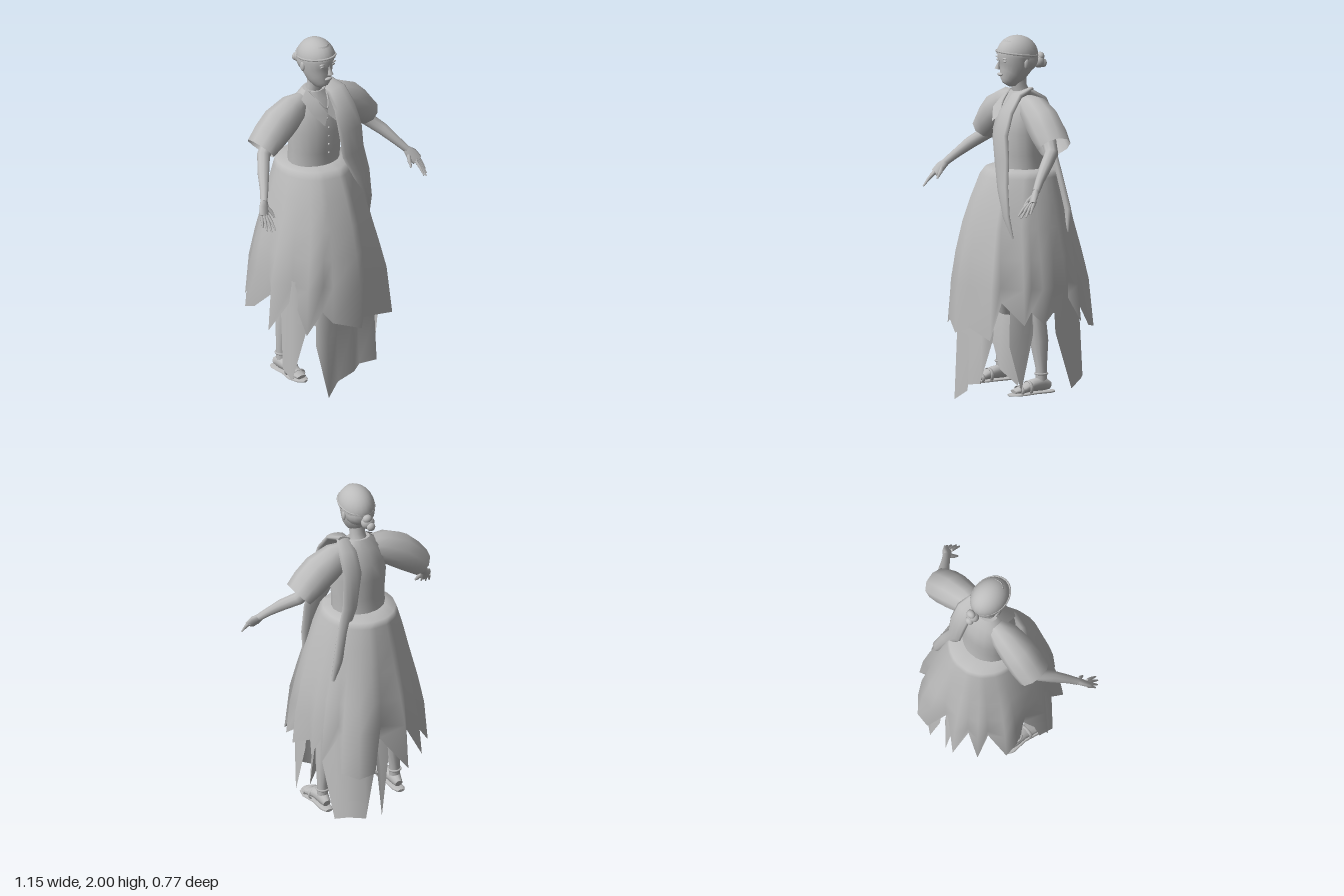
import * as THREE from 'three';

const grey = new THREE.MeshStandardMaterial({ color: 0xbcbcbc, side: THREE.DoubleSide });
grey.name = 'plain grey';

// Surface through rows of points; each row may close on itself
function grid(rows, closed) {
  const n = rows[0].length, idx = [];
  for (let r = 0; r < rows.length - 1; r++) {
    for (let i = 0; i < (closed ? n : n - 1); i++) {
      const j = (i + 1) % n, a = r * n + i, b = r * n + j, c = a + n, d = b + n;
      idx.push(a, b, c, b, d, c);
    }
  }
  const geo = new THREE.BufferGeometry();
  geo.setAttribute('position', new THREE.Float32BufferAttribute(rows.flat(2), 3));
  geo.setIndex(idx);
  geo.computeVertexNormals();
  return geo;
}

// Elliptical loft along sections [x, y, z, radius across, radius along ref]
function loft(sections, sides = 12, cap = true, ref = new THREE.Vector3(0, 0, 1)) {
  const pts = sections.map(s => new THREE.Vector3(s[0], s[1], s[2]));
  const rows = sections.map((s, k) => {
    const t = pts[Math.min(k + 1, pts.length - 1)].clone().sub(pts[Math.max(k - 1, 0)]).normalize();
    const u = ref.clone().cross(t).normalize(), v = t.clone().cross(u);
    return Array.from({ length: sides }, (_, i) => {
      const a = i / sides * Math.PI * 2;
      return pts[k].clone().addScaledVector(u, Math.cos(a) * s[3])
        .addScaledVector(v, Math.sin(a) * (s[4] ?? s[3])).toArray();
    });
  });
  if (cap) {
    const first = rows[0], last = rows[rows.length - 1];
    rows.unshift(first.map(() => pts[0].toArray()), first);
    rows.push(last, last.map(() => pts[pts.length - 1].toArray()));
  }
  return grid(rows, true);
}

export function createModel() {
  const model = new THREE.Group();
  const add = (name, geo, pos = [0, 0, 0], scale = [1, 1, 1], rot = [0, 0, 0]) => {
    const m = new THREE.Mesh(geo, grey);
    m.name = name;
    m.position.set(...pos);
    m.scale.set(...scale);
    m.rotation.set(...rot);
    model.add(m);
    return m;
  };
  const ball = new THREE.SphereGeometry(1, 16, 12);

  // Head, face and neck
  add('neck', loft([[0, 1.66, -.03, .055, .05], [0, 1.72, -.01, .042, .042], [0, 1.8, 0, .045, .05]]));
  add('head', loft([[0, 1.735, .07, .02, .025], [0, 1.75, .06, .042, .05], [0, 1.785, .035, .065, .075],
    [0, 1.83, .012, .079, .097], [0, 1.88, .008, .088, .106], [0, 1.93, .004, .088, .105],
    [0, 1.97, 0, .06, .08]], 20));
  add('nose', new THREE.ConeGeometry(.017, .055, 6), [0, 1.85, .118], [1, 1, 1], [-.25, 0, 0]);
  add('lips', ball, [0, 1.793, .107], [.024, .009, .012]);
  for (const s of [-1, 1]) {
    add('eye', ball, [s * .036, 1.868, .099], [.015, .007, .006]);
    add('brow', ball, [s * .037, 1.884, .101], [.02, .005, .008]);
    add('ear', ball, [s * .084, 1.85, -.012], [.009, .027, .016]);
  }
  // Wrapped hair with band and bun
  add('hairCap', new THREE.SphereGeometry(1, 20, 10, 0, Math.PI * 2, 0, 1.6),
    [0, 1.89, .002], [.096, .109, .12], [-.15, 0, 0]);
  add('hairBack', ball, [0, 1.87, -.035], [.085, .08, .082]);
  add('hairBand', new THREE.TorusGeometry(1, .06, 6, 24), [0, 1.902, .004], [.094, .117, .1], [Math.PI / 2 - .15, 0, 0]);
  add('bun', ball, [0, 1.845, -.13], [.038, .037, .032]);
  add('bunUpper', ball, [.006, 1.872, -.137], [.027, .024, .022]);
  add('bunEnd', ball, [-.004, 1.832, -.16], [.024, .024, .02]);

  // Blouse body
  add('blouse', loft([[0, 1.25, -.02, .15, .13], [0, 1.36, -.015, .15, .125], [0, 1.48, -.01, .16, .137],
    [0, 1.58, -.02, .15, .115], [0, 1.65, -.025, .125, .08], [0, 1.7, -.02, .065, .055]], 18));
  // Open collar and buttons
  for (const s of [-1, 1]) {
    add('collar', grid([[[s * .055, 1.71, -.01], [s * .115, 1.67, .015]],
      [[s * .04, 1.66, .06], [s * .1, 1.6, .095]], [[0, 1.58, .1], [s * .045, 1.53, .132]]]));
  }
  for (let i = 0; i < 5; i++) add('button', ball, [-.01, 1.56 - i * .05, .108 + Math.min(i, 1) * .014], [.006, .006, .006]);
  const beads = new THREE.CatmullRomCurve3([[-.055, 1.7, .01], [-.025, 1.64, .075], [0, 1.61, .095],
    [.025, 1.64, .075], [.055, 1.7, .01]].map(p => new THREE.Vector3(...p)));
  add('necklace', new THREE.TubeGeometry(beads, 16, .005, 5));

  // Sleeves, arms and hands, mirrored
  for (const s of [-1, 1]) {
    const limb = (name, secs, sides, cap) => add(name, loft(secs.map(p => [s * p[0], ...p.slice(1)]), sides, cap));
    limb('sleeve', [[.07, 1.63, -.025, .06, .055], [.14, 1.605, -.025, .088, .082], [.24, 1.55, -.025, .1, .098],
      [.31, 1.492, -.025, .092, .1], [.367, 1.44, -.025, .077, .094]], 10, false);
    limb('arm', [[.2, 1.56, -.025, .05], [.3, 1.47, -.025, .042], [.36, 1.405, -.01, .037], [.42, 1.345, .06, .033],
      [.47, 1.28, .125, .024], [.505, 1.235, .165, .02]], 10);
    limb('palm', [[.5, 1.24, .16, .02, .018], [.52, 1.21, .185, .035, .018], [.54, 1.175, .21, .032, .014]], 8);
    const tips = [[.525, 1.115, .285], [.545, 1.105, .28], [.562, 1.11, .26], [.572, 1.125, .238]];
    tips.forEach((t, i) => {
      const b = [.523 + i * .009, 1.178 + i * .004, .22 - i * .008];
      const mid = b.map((v, k) => (v + t[k]) / 2 + (k === 1 ? .006 : 0));
      limb('finger', [[...b, .01], [...mid, .009], [...t, .004]], 6);
    });
    limb('thumb', [[.505, 1.215, .18, .012], [.488, 1.185, .205, .011], [.482, 1.155, .228, .005]], 6);
  }

  // Long scarf, hanging in front and behind over one shoulder
  add('scarfFront', loft([[.085, 1.705, -.03, .045, .018], [.095, 1.685, .06, .06, .02], [.1, 1.6, .125, .072, .02],
    [.105, 1.48, .165, .08, .022], [.125, 1.34, .165, .075, .02], [.17, 1.2, .185, .055, .016],
    [.21, 1.05, .185, .03, .014], [.235, .93, .16, .008, .006]], 10));
  add('scarfBack', loft([[.085, 1.705, -.01, .045, .018], [.1, 1.66, -.09, .055, .02], [.1, 1.55, -.145, .055, .018],
    [.12, 1.35, -.15, .045, .016], [.17, 1.22, -.165, .035, .018], [.215, 1.06, -.19, .028, .018],
    [.235, .94, -.175, .012, .012]], 10));

  // Pleated skirt: smooth at the waist, folding into a ragged hem of [x, z, y]
  const hem = [[0, .385, .4], [.06, .33, .43], [.27, .32, .39], [.22, .22, .58], [.35, .15, .47], [.3, .08, .53],
    [.37, .04, .47], [.31, -.05, .52], [.34, -.12, .47], [.28, -.15, .6], [.33, -.21, .46], [.23, -.22, .6],
    [.25, -.3, .42], [.18, -.37, .4], [.09, -.385, .42], [.02, -.3, .58], [-.11, -.39, .4], [-.14, -.3, .6],
    [-.23, -.32, .42], [-.22, -.23, .58], [-.33, -.2, .42], [-.33, -.12, .45], [-.29, -.03, .54],
    [-.385, .06, .385], [-.27, .13, .57], [-.29, .27, .4], [-.17, .26, .5], [-.16, .335, .46]];
  // Rows: [y, x radius, z radius, z centre, blend towards the hem]
  const skirtRows = [[1.285, .14, .13, -.02, 0], [1.275, .195, .205, -.03, 0], [1.24, .21, .225, -.02, 0],
    [1.12, .243, .262, -.01, .03], [.98, .275, .295, 0, .1], [.82, .308, .325, 0, .28],
    [.66, .33, .345, 0, .62], [.4, 0, 0, 0, 1]];
  add('skirt', grid(skirtRows.map(([y, rx, rz, cz, k]) => hem.map(([hx, hz, hy]) => {
    const a = Math.atan2(hz, hx);
    const yy = k === 1 ? hy : Math.max(y, hy + (.82 - hy) * .35);
    return [THREE.MathUtils.lerp(Math.cos(a) * rx, hx, k), yy, THREE.MathUtils.lerp(cz + Math.sin(a) * rz, hz, k)];
  })), true));

  // Torn underskirt panels, from hidden top edge to points of [x, z, y]
  const panel = (name, pts, top = .68) => add(name, grid([
    pts.map(([x, z]) => [x * .92, top, z * .88]),
    pts.map(([x, z, y]) => [x * .97, (top + y) / 2, z * .96]),
    pts.map(([x, z, y]) => [x, y, z])]));
  panel('underskirtFront', [[-.2, .24, .3], [-.16, .3, 0], [-.07, .27, .06], [.01, .31, .11], [.08, .27, .12], [.16, .32, .14], [.18, .25, .38]]);
  panel('underskirtBack', [[.06, -.32, .4], [.12, -.335, .12], [.2, -.28, .12], [.24, -.2, .08], [.26, -.09, .4]]);
  panel('underskirtInner', [[-.2, .14, .42], [-.1, .18, .38], [.02, .16, .32], [.13, .18, .2], [.22, .12, .12], [.24, .03, .4]], .5);
  panel('underskirtLeft', [[.27, .2, .35], [.295, .14, .1], [.28, .06, .4]]);
  panel('underskirtRight', [[-.25, .22, .4], [-.31, .17, .1], [-.3, .08, .14], [-.27, .03, .45]]);
  panel('underskirtSpike', [[-.03, -.31, .45], [.015, -.32, .1], [.04, -.3, .45]]);

  // Legs, feet and sandals
  const up = new THREE.Vector3(0, 1, 0);
  for (const s of [-1, 1]) {
    const x = s * .22;
    add('leg', loft([[s * .15, .8, 0, .075], [s * .19, .5, -.005, .055], [s * .205, .35, -.02, .05],
      [x, .2, -.025, .03], [x, .12, -.025, .03]], 12));
    add('foot', loft([[x, .105, -.075, .022, .022], [x, .12, -.035, .033, .04], [x, .115, .03, .035, .034],
      [x + s * .005, .1, .09, .042, .022], [x + s * .005, .09, .15, .03, .011]], 12, true, up));
    add('sandalSole', loft([[x, .073, -.1, .02, .008], [x, .073, -.07, .036, .008], [x, .073, .02, .036, .008],
      [x + s * .006, .073, .1, .05, .008], [x + s * .004, .073, .155, .04, .008], [x, .073, .178, .015, .006]], 10, true, up));
    for (const [z, y, rx, ry] of [[.11, .092, .044, .026], [.055, .103, .042, .036]]) {
      add('sandalStrap', new THREE.TorusGeometry(1, .12, 6, 18), [x, y, z], [rx, ry, .08]);
    }
    add('ankleStrap', new THREE.TorusGeometry(.033, .006, 6, 18), [x, .175, -.025], [1, 1, 1], [Math.PI / 2, 0, 0]);
  }
  return model;
}
